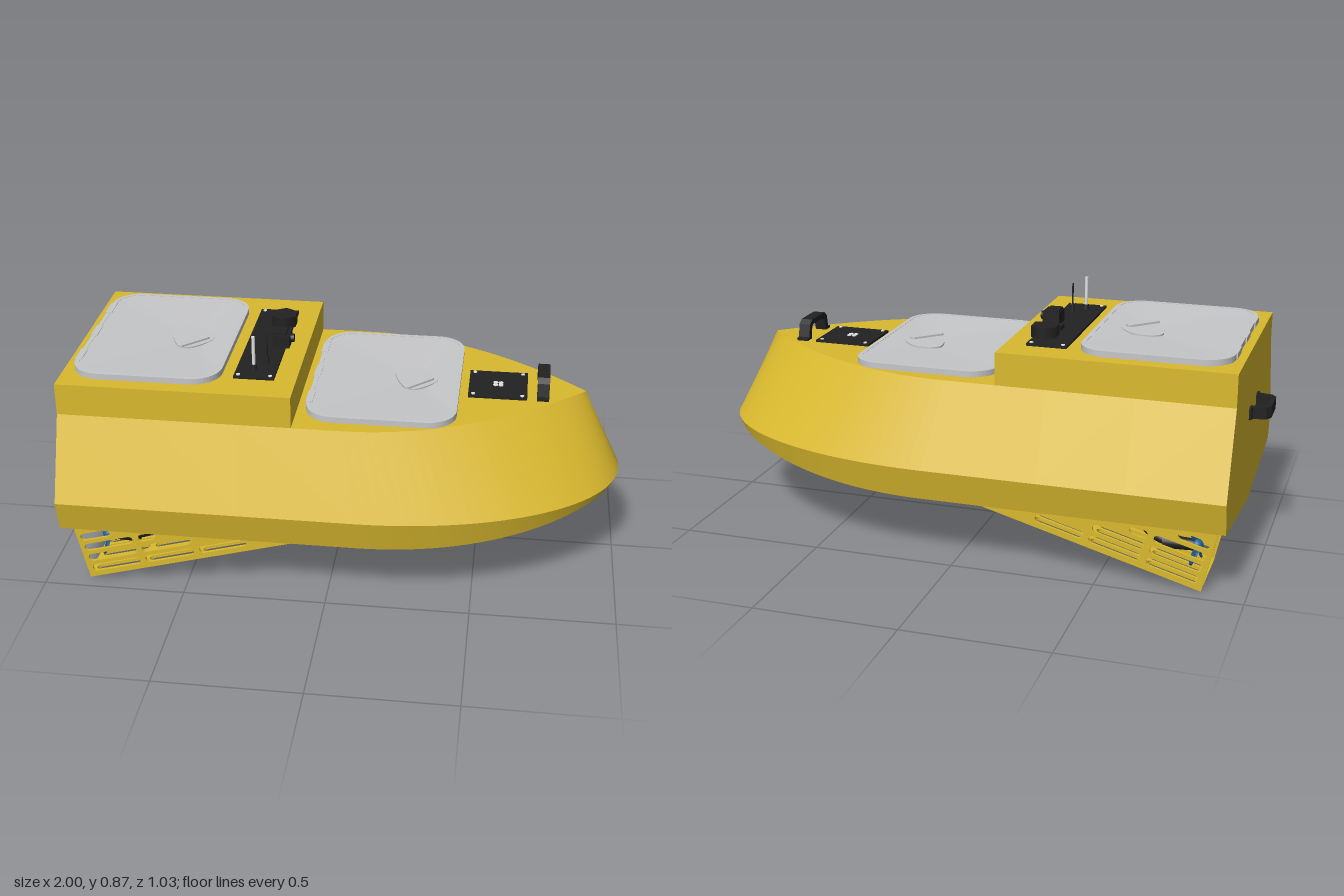
import * as THREE from 'three';

const mat = (name, color, side = THREE.FrontSide) => {
  const m = new THREE.MeshStandardMaterial({ color, side });
  m.name = name;
  return m;
};
const V = (x, y, z) => new THREE.Vector3(x, y, z);

// Ruled surface between two rails of points
function strip(a, b, flip) {
  const pos = [], idx = [];
  a.forEach((p, i) => {
    pos.push(...p.toArray(), ...b[i].toArray());
    if (i === 0) return;
    const k = 2 * i - 2;
    if (flip) idx.push(k, k + 3, k + 1, k, k + 2, k + 3);
    else idx.push(k, k + 1, k + 3, k, k + 3, k + 2);
  });
  const g = new THREE.BufferGeometry();
  g.setAttribute('position', new THREE.Float32BufferAttribute(pos, 3));
  g.setIndex(idx);
  g.computeVertexNormals();
  return g;
}

function roundedRect(w, h, r, Type = THREE.Shape) {
  const s = new Type(), x = w / 2, y = h / 2;
  s.absarc(x - r, y - r, r, 0, Math.PI / 2);
  s.absarc(-x + r, y - r, r, Math.PI / 2, Math.PI);
  s.absarc(-x + r, -y + r, r, Math.PI, Math.PI * 1.5);
  s.absarc(x - r, -y + r, r, Math.PI * 1.5, Math.PI * 2);
  s.closePath();
  return s;
}

function slot(x0, x1, y, r) {
  const p = new THREE.Path();
  p.absarc(x1 - r, y, r, -Math.PI / 2, Math.PI / 2);
  p.absarc(x0 + r, y, r, Math.PI / 2, Math.PI * 1.5);
  p.closePath();
  return p;
}

const extrude = (shape, depth) =>
  new THREE.ExtrudeGeometry(shape, { depth, bevelEnabled: false, curveSegments: 6 });
// Extrusion lying flat: shape y runs to -z, depth runs up
const slab = (shape, depth) => extrude(shape, depth).rotateX(-Math.PI / 2);

export function createModel() {
  const yellow = mat('hull yellow', 0xdab92e);
  const grey = mat('hatch grey', 0xc6c7c9, THREE.DoubleSide);
  const black = mat('fitting black', 0x222222);
  const blue = mat('propeller blue', 0x215f9c, THREE.DoubleSide);
  const white = mat('fastener white', 0xe4e4e4);
  const model = new THREE.Group();

  const add = (parent, name, geo, m, x = 0, y = 0, z = 0) => {
    const mesh = new THREE.Mesh(geo, m);
    mesh.name = name;
    mesh.position.set(x, y, z);
    parent.add(mesh);
    return mesh;
  };
  const box = (parent, name, m, w, h, d, x, y, z) =>
    add(parent, name, new THREE.BoxGeometry(w, h, d), m, x, y, z);
  const group = (name, x = 0, y = 0, z = 0, parent = model) => {
    const g = new THREE.Group();
    g.name = name;
    g.position.set(x, y, z);
    parent.add(g);
    return g;
  };

  // Hull: four rails per side, straight aft and curving to the bow
  const hull = group('hull');
  for (const side of [1, -1]) {
    const centre = [], deck = [], chine = [], lower = [], keel = [];
    const station = (xd, xc, u, c) => {
      const wd = 0.4 * (1 - u * u);
      centre.push(V(xd, 0.628, 0));
      deck.push(V(xd, 0.628, side * wd));
      chine.push(V(xc, 0.34, side * 0.516 * c));
      lower.push(V(xc, 0.228 + 0.112 * u ** 2.3, side * 0.49 * c));
      keel.push(V(xc, 0.17 + 0.17 * u ** 2.1, 0));
    };
    for (const x of [-0.93, -0.6, -0.3]) station(x, x, 0, 1);
    for (let i = 0; i <= 32; i++) {
      const t = (i / 32) * Math.PI / 2, u = Math.sin(t);
      station(0.05 + 0.81 * u, 0.1 + 0.896 * u, u, Math.cos(t));
    }
    const flip = side < 0;
    add(hull, 'deck', strip(centre, deck, flip), yellow);
    add(hull, 'topside', strip(deck, chine, flip), yellow);
    add(hull, 'chineBand', strip(chine, lower, flip), yellow);
    add(hull, 'bottom', strip(lower, keel, flip), yellow);
  }
  const half = [[0.4, 0.628], [0.516, 0.34], [0.49, 0.228]];
  const outline = [...half, [0, 0.17], ...half.map(([z, y]) => [-z, y]).reverse()];
  const transom = new THREE.Shape(outline.map(([z, y]) => new THREE.Vector2(z, y)));
  add(hull, 'transom', new THREE.ShapeGeometry(transom).rotateY(-Math.PI / 2), yellow, -0.93);
  box(hull, 'raisedAftDeck', yellow, 0.805, 0.122, 0.8, -0.5275, 0.68, 0);

  // Dished hatches with hinges and a turning latch
  for (const [name, x, y] of [['aftHatch', -0.64, 0.741], ['foreHatch', 0.163, 0.628]]) {
    const h = group(name, x, y, 0);
    const rim = roundedRect(0.515, 0.69, 0.1);
    rim.holes.push(roundedRect(0.485, 0.66, 0.085, THREE.Path));
    add(h, 'rim', slab(rim, 0.021), grey);
    const edge = roundedRect(0.485, 0.66, 0.085).getPoints(5), pos = [];
    edge.forEach((p, i) => {
      const q = edge[(i + 1) % edge.length];
      pos.push(0.1, 0.006, 0, p.x, 0.02, -p.y, q.x, 0.02, -q.y);
    });
    const dish = new THREE.BufferGeometry();
    dish.setAttribute('position', new THREE.Float32BufferAttribute(pos, 3));
    dish.computeVertexNormals();
    add(h, 'dish', dish, grey);
    const cup = new THREE.CatmullRomCurve3([
      V(0.08, 0, 0), V(0.02, 0.08, 0), V(-0.045, 0.09, 0),
      V(-0.078, 0.06, 0), V(-0.035, -0.075, 0), V(0, -0.088, 0)], true);
    const cupShape = new THREE.Shape(cup.getPoints(36).slice(0, -1).map(p => new THREE.Vector2(p.x, p.y)));
    add(h, 'latchCup', slab(cupShape, 0.012), grey, 0.1, 0.003, 0);
    const bar = add(h, 'latchBar', slab(roundedRect(0.13, 0.026, 0.012), 0.007), grey, 0.112, 0.015, 0.042);
    bar.rotation.y = Math.PI / 4;
    for (const z of [-0.2, 0, 0.2])
      box(h, 'hinge', grey, 0.024, 0.02, 0.085, -0.25, 0.012, z);
  }

  // Instrument panel on the aft deck
  const panel = group('instrumentPanel', -0.27, 0.741, 0);
  box(panel, 'panelPlate', black, 0.14, 0.008, 0.57, 0, 0.004, -0.005);
  for (const x of [-0.055, 0.055]) for (const z of [-0.275, 0.265])
    add(panel, 'screw', new THREE.CylinderGeometry(0.007, 0.007, 0.004, 8), white, x, 0.009, z);
  add(panel, 'sensorPuck', new THREE.CylinderGeometry(0.05, 0.05, 0.04, 6), black, 0.035, 0.026, -0.175);
  box(panel, 'cameraBody', black, 0.06, 0.045, 0.075, 0.055, 0.03, 0);
  box(panel, 'cameraTop', black, 0.045, 0.012, 0.055, 0.05, 0.054, 0);
  add(panel, 'cameraLens', new THREE.CylinderGeometry(0.015, 0.015, 0.015, 16).rotateZ(Math.PI / 2), black, 0.09, 0.032, 0);
  box(panel, 'connector', black, 0.04, 0.015, 0.05, 0.02, 0.014, -0.08);
  add(panel, 'antennaBase', new THREE.CylinderGeometry(0.009, 0.012, 0.02, 10), black, -0.01, 0.015, 0.212);
  add(panel, 'whiteAntenna', new THREE.CylinderGeometry(0.006, 0.006, 0.12, 10), white, -0.01, 0.068, 0.212);
  add(panel, 'blackAntennaBase', new THREE.CylinderGeometry(0.005, 0.009, 0.035, 10), black, 0.028, 0.02, 0.163);
  add(panel, 'blackAntenna', new THREE.CylinderGeometry(0.003, 0.003, 0.1, 8), black, 0.028, 0.063, 0.163);

  // Square plate on the foredeck
  const plate = group('foredeckPlate', 0.553, 0.628, 0);
  box(plate, 'plate', black, 0.205, 0.008, 0.2, 0, 0.004, 0);
  for (const x of [-0.085, 0.085]) for (const z of [-0.085, 0.085])
    add(plate, 'screw', new THREE.CylinderGeometry(0.007, 0.007, 0.004, 8), white, x, 0.009, z);
  for (let i = 0; i < 4; i++) {
    const a = Math.PI / 4 + i * Math.PI / 2;
    add(plate, 'centreMark', new THREE.CylinderGeometry(0.009, 0.009, 0.004, 8), white,
      0.013 * Math.cos(a), 0.009, 0.013 * Math.sin(a));
  }

  // Carrying handles at bow and stern
  const right = [[0.055, 0.07], [0.075, 0.055], [0.085, 0.01], [0.1, 0.008], [0.1, 0],
    [0.065, 0], [0.056, 0.043], [0.045, 0.052]];
  const handlePts = [...right, ...right.map(([x, y]) => [-x, y]).reverse()];
  const handleGeo = extrude(new THREE.Shape(handlePts.map(([x, y]) => new THREE.Vector2(x, y))), 0.042)
    .translate(0, 0, -0.021).rotateY(Math.PI / 2);
  add(model, 'bowHandle', handleGeo, black, 0.71, 0.628, 0);
  add(model, 'sternHandle', handleGeo, black, -0.93, 0.512, 0).rotation.z = Math.PI / 2;

  // Slotted guard plates, drawn along the sloping underside
  const floor = new THREE.Shape([[0, -0.128], [0.83, -0.128], [0.83, 0.128], [0, 0.128]]
    .map(p => new THREE.Vector2(...p)));
  for (let c = -2; c <= 2; c++) for (let r = 0; r < 4; r++)
    floor.holes.push(slot(0.018 + r * 0.203, 0.2 + r * 0.203, c * 0.0435, 0.0155));
  const floorGeo = extrude(floor, 0.012).rotateX(Math.PI / 2).translate(0, 0.012, 0);
  const wall = new THREE.Shape([[0, 0], [0.83, 0], [0.01, 0.225]].map(p => new THREE.Vector2(...p)));
  for (let r = 0; r < 4; r++) {
    const n = 0.034 + r * 0.043, end = (0.205 - 0.964 * (n + 0.014)) / 0.265;
    for (let s = 0.02; s < end - 0.05; s += 0.203)
      wall.holes.push(slot(s, Math.min(s + 0.182, end), n, 0.014));
  }
  const wallGeo = extrude(wall, 0.01);

  // Propeller blade outline, tip pointing up
  const blade = new THREE.Shape();
  blade.moveTo(-0.01, 0.01);
  blade.bezierCurveTo(-0.055, 0.04, -0.04, 0.082, 0.005, 0.08);
  blade.bezierCurveTo(0.04, 0.075, 0.035, 0.035, 0.01, 0.01);
  const bladeGeo = extrude(blade, 0.006).rotateY(Math.PI / 2 - 0.45);

  for (const [name, z] of [['left', 0.317], ['right', -0.317]]) {
    const guard = group(name + 'Guard', -0.85, 0, z);
    guard.rotation.z = 0.268;
    add(guard, 'guardFloor', floorGeo, yellow);
    add(guard, 'guardWall', wallGeo, yellow, 0, 0, 0.118);
    add(guard, 'guardWall', wallGeo, yellow, 0, 0, -0.128);

    // Thruster with a curved strut into the hull
    const thruster = group(name + 'Thruster', -0.81, 0.108, z);
    add(thruster, 'motor', new THREE.CylinderGeometry(0.02, 0.024, 0.11, 16).rotateZ(Math.PI / 2), black, 0.06);
    const path = new THREE.CatmullRomCurve3([V(0.1, 0, 0), V(0.15, 0.02, 0), V(0.185, 0.06, 0), V(0.195, 0.12, 0)]);
    add(thruster, 'strut', new THREE.TubeGeometry(path, 12, 0.015, 10), black);
    add(thruster, 'hub', new THREE.SphereGeometry(0.022, 16, 10), blue);
    for (let i = 0; i < 3; i++)
      add(thruster, 'blade', bladeGeo, blue).rotation.x = i * Math.PI * 2 / 3;
  }
  return model;
}
